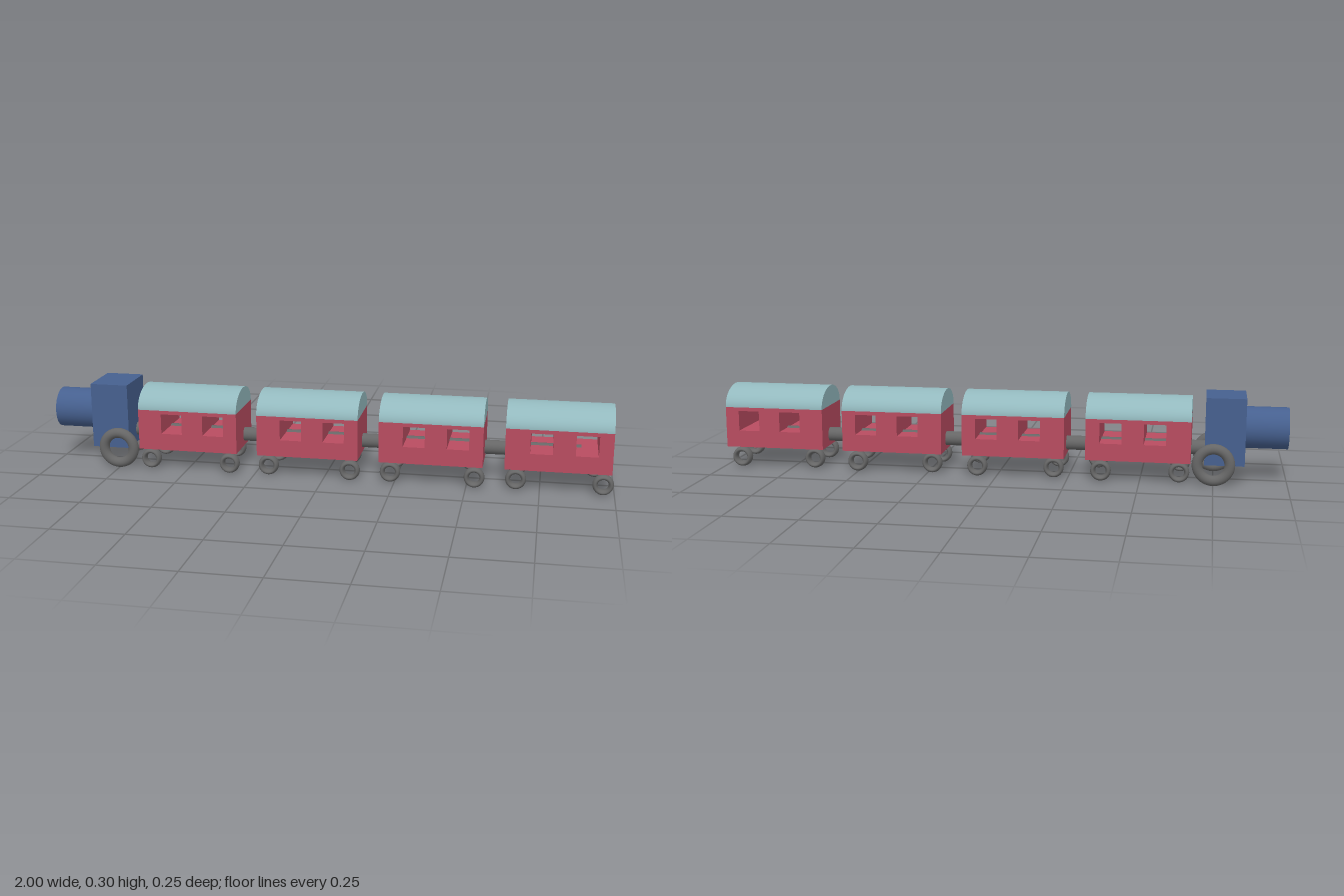
import * as THREE from 'three';

const paint = (color) => new THREE.MeshStandardMaterial({ color });
const navy = paint(0x46608f), red = paint(0xb84c60), teal = paint(0x93b9be), grey = paint(0x666666);

function add(parent, name, geometry, material, x = 0, y = 0, z = 0) {
  const mesh = new THREE.Mesh(geometry, material);
  mesh.name = name;
  mesh.position.set(x, y, z);
  parent.add(mesh);
  return mesh;
}

// Cylinder lying along x
const lyingCylinder = (radius, length) =>
  new THREE.CylinderGeometry(radius, radius, length, 32).rotateZ(-Math.PI / 2);

const CAR_LENGTH = 0.36, CAR_WIDTH = 0.216, FLOOR = 0.073, EAVES = 0.218;

// Carriage side outline with two window openings running right through
function bodyGeometry() {
  const h = CAR_LENGTH / 2;
  const rect = (path, x0, y0, x1, y1) =>
    path.moveTo(x0, y0).lineTo(x1, y0).lineTo(x1, y1).lineTo(x0, y1).closePath();
  const side = new THREE.Shape();
  rect(side, -h, FLOOR, h, EAVES);
  for (const x of [-0.058, 0.094]) {
    const hole = new THREE.Path();
    rect(hole, x - 0.038, 0.133, x + 0.038, 0.205);
    side.holes.push(hole);
  }
  return new THREE.ExtrudeGeometry(side, { depth: CAR_WIDTH, bevelEnabled: false })
    .translate(0, 0, -CAR_WIDTH / 2);
}

// Half-elliptical barrel roof, closed underneath
function roofGeometry() {
  return new THREE.CylinderGeometry(1, 1, CAR_LENGTH, 40, 1, false, Math.PI, Math.PI)
    .rotateZ(-Math.PI / 2)
    .scale(1, 0.072, CAR_WIDTH / 2);
}

export function createModel() {
  const train = new THREE.Group();
  train.name = 'train';

  // Engine: boiler, cab and one pair of large ring wheels
  const engine = new THREE.Group();
  engine.name = 'engine';
  train.add(engine);
  add(engine, 'boiler', lyingCylinder(0.072, 0.2), navy, -0.9, 0.187, 0);
  add(engine, 'cab', new THREE.BoxGeometry(0.136, 0.233, 0.174), navy, -0.787, 0.1825, 0);
  const bigWheel = new THREE.TorusGeometry(0.055, 0.018, 20, 40);
  for (const z of [0.109, -0.109]) add(engine, 'engineWheel', bigWheel, grey, -0.75, 0.073, z);

  // Draw bar running through all the carriages
  add(train, 'drawBar', lyingCylinder(0.025, 1.645), grey, 0.0625, 0.113, -0.015);

  // Four carriages
  const body = bodyGeometry(), roof = roofGeometry();
  const smallWheel = new THREE.TorusGeometry(0.055, 0.018, 20, 32).scale(0.49, 0.49, 1);
  const wheelSpots = [[-0.141, 0.09], [-0.141, -0.076], [0.152, 0.099], [0.127, -0.095]];
  for (let i = 0; i < 4; i++) {
    const car = new THREE.Group();
    car.name = 'carriage';
    car.position.x = -0.493 + i * 0.434;
    train.add(car);
    add(car, 'carriageBody', body, red);
    add(car, 'carriageRoof', roof, teal, 0, EAVES, 0);
    for (const [x, z] of wheelSpots) add(car, 'carriageWheel', smallWheel, grey, x, 0.036, z);
  }

  // Underside of the roofs, level with the eaves, is covered by the bodies
  return train;
}
